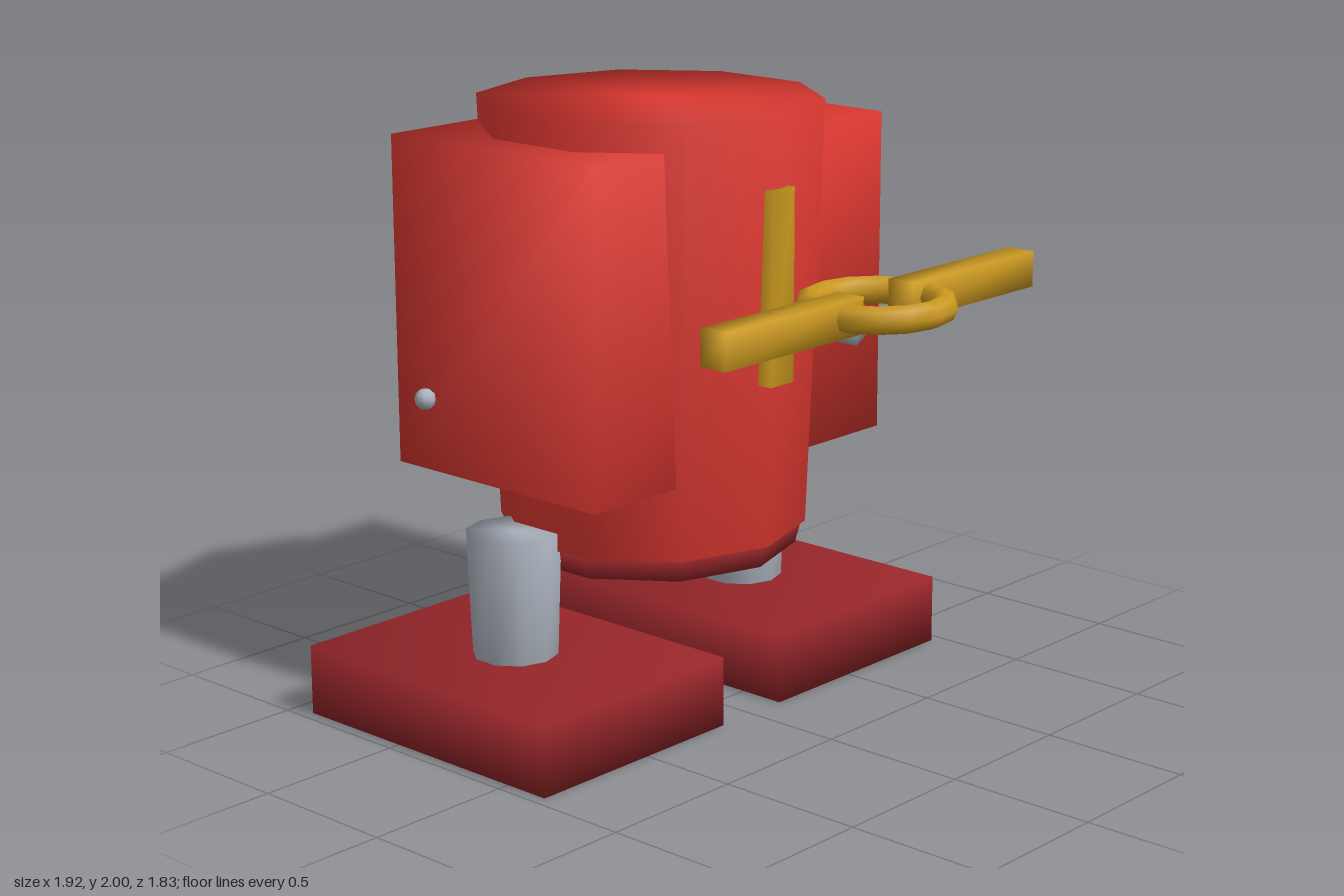
import * as THREE from 'three';
import { mergeVertices } from 'three/addons/utils/BufferGeometryUtils.js';

const mat = (name, color) => {
  const m = new THREE.MeshStandardMaterial({ color });
  m.name = name;
  return m;
};

// Weld the corners so that shading runs smoothly over every edge
function soft(geometry) {
  geometry.deleteAttribute('uv');
  geometry.deleteAttribute('normal');
  const welded = mergeVertices(geometry, 1e-4);
  welded.computeVertexNormals();
  return welded;
}

export function createModel() {
  const model = new THREE.Group();
  model.name = 'walker';
  const red = mat('red', 0xdd3831);
  const darkRed = mat('dark red', 0x96262a);
  const gold = mat('gold', 0xc9971f);
  const steel = mat('steel', 0xaab1bc);

  const add = (name, geometry, material, x, y, z) => {
    const mesh = new THREE.Mesh(soft(geometry), material);
    mesh.name = name;
    mesh.position.set(x, y, z);
    model.add(mesh);
    return mesh;
  };
  // Box given by its lower and upper limits
  const box = (name, material, [x0, y0, z0], [x1, y1, z1]) =>
    add(name, new THREE.BoxGeometry(x1 - x0, y1 - y0, z1 - z0), material,
      (x0 + x1) / 2, (y0 + y1) / 2, (z0 + z1) / 2);

  // Ten-sided tapered body with a darker base and a square casing through it
  add('body', new THREE.CylinderGeometry(0.565, 0.51, 1.41, 10), red, 0, 1.295, -0.283);
  add('bodyBase', new THREE.CylinderGeometry(0.5, 0.477, 0.085, 10), darkRed, 0, 0.5575, -0.283);
  box('casing', red, [-0.685, 0.835, -0.76], [0.685, 1.91, 0.12]);

  // Gold trim on front and back
  box('frontStrip', gold, [-0.055, 1.14, 0.2], [0.055, 1.77, 0.283]);
  box('backBar', gold, [-0.375, 0.905, -0.845], [0.375, 1.06, -0.76]);

  // Peg and ring in front of the body
  const peg = add('peg', new THREE.CylinderGeometry(0.057, 0.057, 0.235, 6), steel, 0, 1.375, 0.467);
  peg.rotation.x = Math.PI / 2;
  const ring = add('ring', new THREE.TorusGeometry(0.209, 0.044, 8, 14), gold, 0, 1.46, 0.66);
  ring.rotation.set(Math.PI / 2, 0, Math.PI / 2);

  // Mirrored parts
  for (const [side, s] of [['left', 1], ['right', -1]]) {
    const foot = box(side + 'Foot', darkRed, [0.14, 0, -0.918], [0.96, 0.235, 0.16]);
    foot.position.x *= s;
    add(side + 'Leg', new THREE.CylinderGeometry(0.156, 0.14, 0.43, 10), steel, s * 0.553, 0.435, -0.376);
    const handle = box(side + 'Handle', gold, [0.12, 1.398, 0.61], [0.743, 1.514, 0.707]);
    handle.position.x *= s;
    add(side + 'Bolt', new THREE.SphereGeometry(0.035, 8, 6), steel, s * 0.706, 1.075, -0.61);
  }
  return model;
}
